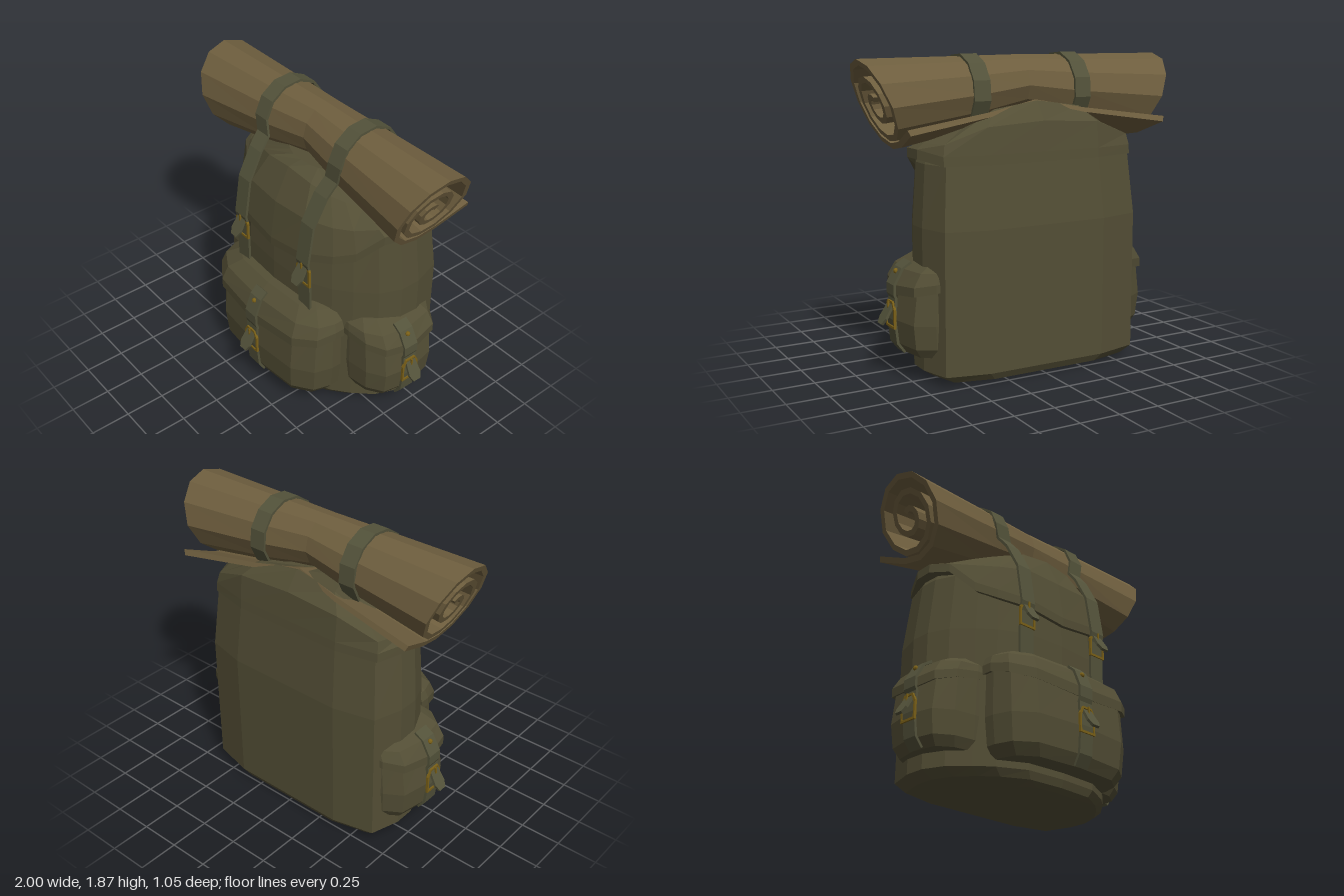
import * as THREE from 'three';

const mat = (color) => new THREE.MeshStandardMaterial({ color, flatShading: true, side: THREE.DoubleSide, roughness: 0.9 });
const canvas = mat(0x534e35), webbing = mat(0x53523a), blanket = mat(0x6e5e3e), brass = mat(0x7a6018);

// Skin a stack of equal closed rings of [x, y, z]; both ends are capped by strips across the ring.
function loft(name, rings, material) {
  const n = rings[0].length, index = [];
  const quad = (a, b, c, d) => index.push(a, b, c, a, c, d);
  for (let r = 0; r < rings.length - 1; r++) {
    for (let i = 0; i < n; i++) {
      const j = (i + 1) % n;
      quad(r * n + i, r * n + j, (r + 1) * n + j, (r + 1) * n + i);
    }
  }
  const top = (rings.length - 1) * n;
  for (let i = 0; i < n / 2 - 1; i++) {
    quad(top + i, top + i + 1, top + n - 2 - i, top + n - 1 - i);
    quad(n - 1 - i, n - 2 - i, i + 1, i);
  }
  let geo = new THREE.BufferGeometry();
  geo.setAttribute('position', new THREE.Float32BufferAttribute(rings.flat(2), 3));
  geo.setIndex(index);
  geo = geo.toNonIndexed();
  geo.computeVertexNormals();
  const mesh = new THREE.Mesh(geo, material);
  mesh.name = name;
  return mesh;
}

// Complete a half outline (front centre, +x side, back centre) to a closed ring.
const mirrorRing = (half) => [...half, ...half.slice(1, -1).reverse().map(([x, y, z]) => [-x, y, z])];

// Flat band along a path of [x, y, z]; its width lies along x.
function strap(name, path, width, thick = 0.016) {
  const rings = path.map(([x, y, z], i) => {
    const a = path[Math.max(i - 1, 0)], b = path[Math.min(i + 1, path.length - 1)];
    const len = Math.hypot(b[1] - a[1], b[2] - a[2]);
    const ny = -(b[2] - a[2]) / len * thick / 2, nz = (b[1] - a[1]) / len * thick / 2, w = width / 2;
    return [[x - w, y + ny, z + nz], [x + w, y + ny, z + nz], [x + w, y - ny, z - nz], [x - w, y - ny, z - nz]];
  });
  return loft(name, rings, webbing);
}

// Buckle frame with prong and a loose strap tip hanging out of it.
function buckle() {
  const g = new THREE.Group();
  g.name = 'buckle';
  const outline = (w, b, t) => [[-w, b], [w, b], [w, t - 0.045], [w * 0.6, t], [-w * 0.6, t], [-w, t - 0.045]]
    .map(([x, y]) => new THREE.Vector2(x, y));
  const shape = new THREE.Shape(outline(0.06, -0.08, 0.08));
  shape.holes.push(new THREE.Path(outline(0.048, -0.066, 0.068)));
  const frame = new THREE.Mesh(new THREE.ExtrudeGeometry(shape, { depth: 0.015, bevelEnabled: false }), brass);
  frame.name = 'buckleFrame';
  const prong = new THREE.Mesh(new THREE.BoxGeometry(0.01, 0.08, 0.01), brass);
  prong.name = 'buckleProng';
  prong.position.set(0, 0.04, 0.024);
  const tip = new THREE.Shape([[-0.026, -0.13], [0.026, -0.13], [0.043, -0.09], [0.035, 0], [-0.035, 0], [-0.043, -0.09]]
    .map(([x, y]) => new THREE.Vector2(x, y)));
  const tongue = new THREE.Mesh(new THREE.ExtrudeGeometry(tip, { depth: 0.016, bevelEnabled: false }), webbing);
  tongue.name = 'strapTip';
  tongue.position.set(0, 0.055, 0);
  tongue.rotation.x = -0.55;
  g.add(frame, prong, tongue);
  return g;
}

// Pocket with overlapping flap, strap, stud and buckle; faces +z with its back at z = 0.
// fastenX shifts the fastening sideways.
function pocket(name, w, y0, y1, d, fastenX = 0) {
  const g = new THREE.Group();
  g.name = name;
  const plan = [[0, 1], [0.68, 0.9], [0.93, 0.6], [1, 0.22], [1, 0], [0, 0]];
  const Y = (f) => y0 + f * (y1 - y0);
  const ring = (f, sw, sd, rise = 0) => mirrorRing(plan.map(([x, z], i) =>
    [x * w * sw, Y(f + rise * Math.min(i, 3) / 3), z * d * sd]));
  g.add(loft('pocketBody', [ring(0, 0.87, 0.86), ring(0.1, 0.97, 0.98), ring(0.35, 1.01, 1.03), ring(0.8, 1, 0.93)], canvas));
  g.add(loft('pocketFlap', [ring(0.63, 0.98, 0.94, 0.12), ring(0.61, 1.06, 1.03, 0.12), ring(0.71, 1.06, 1.03, 0.1),
    ring(0.87, 1.02, 0.88, 0.02), ring(0.97, 0.84, 0.58), ring(1, 0.72, 0.35)], canvas));
  const path = [[0, 0.87], [0.1, 1], [0.35, 1.05], [0.57, 1.02], [0.61, 1.05], [0.71, 1.05], [0.87, 0.9], [0.93, 0.74]];
  g.add(strap('pocketStrap', path.map(([f, s]) => [fastenX, Y(f), s * d]), 0.1));
  const stud = new THREE.Mesh(new THREE.SphereGeometry(0.016, 8, 6), brass);
  stud.name = 'stud';
  stud.position.set(fastenX, Y(0.84), d * 0.96);
  const b = buckle();
  b.position.set(fastenX, Y(0.4), d * 1.04);
  g.add(stud, b);
  return g;
}

// Half plan of the pack, front centre to back centre; y and sx may be given per point.
const PLAN = [[0, 0.27], [0.26, 0.255], [0.43, 0.17], [0.53, 0.09], [0.635, -0.02],
  [0.69, -0.15], [0.69, -0.28], [0.635, -0.46], [0.38, -0.52], [0, -0.52]];
const at = (v, i) => (Array.isArray(v) ? v[i] : v);
const packRing = (y, sx, sf, sb) => mirrorRing(PLAN.map(([x, z], i) =>
  [x * at(sx, i), at(y, i), z * (z > 0 ? sf : sb)]));

// Bedroll: a thick spiral sheet, pinched in the middle, with slanted ends and a loose tail.
function bedroll() {
  const mid = [[-0.34, -0.13], [-0.13, -0.215]];
  for (let i = 0; i <= 31; i++) {
    const t = i / 12, a = t * Math.PI * 2;
    const r = t < 0.75 ? 0.237 : t < 1 ? 0.237 - (t - 0.75) * 0.188 : 0.19 - (t - 1) * 0.1;
    mid.push([r * Math.sin(a), -r * Math.cos(a)]);
  }
  const side = (o) => mid.map(([z, y], i) => {
    const a = mid[Math.max(i - 1, 0)], b = mid[Math.min(i + 1, mid.length - 1)];
    const len = Math.hypot(b[0] - a[0], b[1] - a[1]);
    return [z + o * (b[1] - a[1]) / len, y - o * (b[0] - a[0]) / len];
  });
  const section = [...side(-0.017), ...side(0.017).reverse()];
  const rings = [[-1, 1], [-0.35, 0.82], [0, 0.68], [0.35, 0.82], [1, 1]].map(([s, k]) => section.map(([z, v]) => {
    const y = 1.872 - 0.28 * k + v * k;
    return [s * (0.79 + 0.417 * (y - 1.34)), y, -0.15 + 0.025 * k + z * k];
  }));
  return loft('bedroll', rings, blanket);
}

export function createModel() {
  const model = new THREE.Group();
  model.name = 'backpack';

  // Main sack
  model.add(loft('packBody', [packRing(0, 0.55, 0.8, 0.85), packRing(0.02, 0.9, 0.94, 0.95), packRing(0.065, 1, 1, 1),
    packRing(0.9, 1, 1, 1), packRing(1.26, 0.955, 0.93, 0.925), packRing(1.34, 0.9, 0.8, 0.85)], canvas));

  // Lid with a dipping front edge and arched crown; its lip fades into the back panel
  const rim = [1.03, 1.065, 1.1, 1.14, 1.27, 1.29, 1.29, 1.26, 1.26, 1.26];
  const lip = [1.03, 1.03, 1.03, 1.03, 1.03, 1.03, 1.02, 0.975, 0.955, 0.955];
  model.add(loft('packLid', [
    packRing(rim, 0.93, 0.9, 0.88),
    packRing(rim, lip, 1.06, 0.925),
    packRing(rim.map((y) => y + 0.055), lip, 1.06, 0.918),
    packRing([1.33, 1.34, 1.33, 1.33, 1.35, 1.36, 1.38, 1.38, 1.47, 1.49], 0.955, 0.92, 0.885),
    packRing([1.53, 1.51, 1.47, 1.45, 1.43, 1.42, 1.43, 1.45, 1.56, 1.6], 0.74, 0.55, 0.73),
    packRing(1.54, 0.3, 0.2, 0.4)], canvas));

  model.add(bedroll());

  // Long straps running up the front and round the bedroll
  for (const s of [-1, 1]) {
    const path = [[0.3, 0.74, 0.27], [0.3, 1.02, 0.272], [0.3, 1.08, 0.286], [0.3, 1.33, 0.246], [0.305, 1.5, 0.155], [0.315, 1.58, 0.088]];
    for (let a = 10; a <= 220; a += 30) {
      const r = a * Math.PI / 180;
      path.push([0.335, 1.644 + 0.217 * Math.sin(r), -0.13 + 0.217 * Math.cos(r)]);
    }
    model.add(strap('longStrap', path.map(([x, y, z]) => [x * s, y, z]), 0.105));
    const b = buckle();
    b.position.set(0.3 * s, 1.0, 0.272);
    model.add(b);

    // Side pockets
    const p = pocket('sidePocket', 0.264, 0.155, 0.725, 0.345, -0.035 * s);
    p.rotation.y = s * Math.PI / 2;
    p.position.set(0.455 * s, 0, -0.157);
    model.add(p);
  }

  // Front pocket
  const front = pocket('frontPocket', 0.495, 0.105, 0.77, 0.288);
  front.position.z = 0.15;
  model.add(front);
  return model;
}
